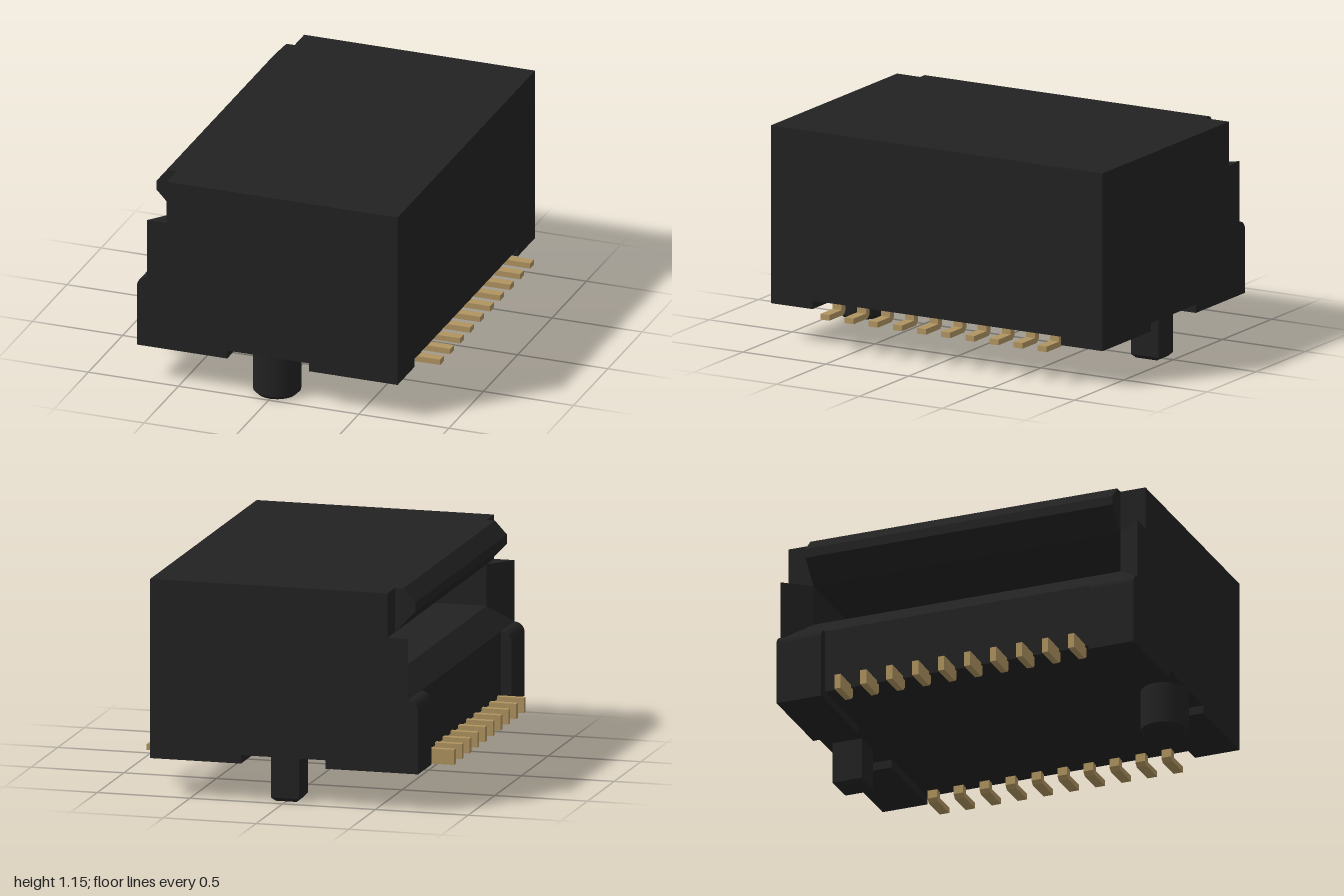
import * as THREE from 'three';

export function createModel() {
  const group = new THREE.Group();
  const black = new THREE.MeshStandardMaterial({ color: 0x222222 });
  black.name = 'black plastic';
  const gold = new THREE.MeshStandardMaterial({ color: 0xb09460 });
  gold.name = 'gold contact';

  const add = (name, geometry, material = black) => {
    const mesh = new THREE.Mesh(geometry, material);
    mesh.name = name;
    group.add(mesh);
    return mesh;
  };
  const shapeOf = (pts) => new THREE.Shape(pts.map(([x, y]) => new THREE.Vector2(x, y)));
  // Extrude an x-y profile from z0 to z1
  const slab = (shape, z0, z1) =>
    new THREE.ExtrudeGeometry(shape, { depth: z1 - z0, bevelEnabled: false, curveSegments: 8 }).translate(0, 0, z0);
  const box = (x0, x1, y0, y1, z0, z1) =>
    new THREE.BoxGeometry(x1 - x0, y1 - y0, z1 - z0).translate((x0 + x1) / 2, (y0 + y1) / 2, (z0 + z1) / 2);

  // Housing with a chamfered card slot
  add('slottedHousing', slab(shapeOf([
    [0.715, 0.245], [0.715, 1.15], [-0.61, 1.15], [-0.675, 1.08], [-0.675, 1.03], [-0.565, 0.915],
    [0.3, 0.915], [0.3, 0.695], [-0.565, 0.695], [-0.675, 0.59], [-0.675, 0.245],
  ]), -0.86, 0.86));

  const endProfile = shapeOf([
    [0.715, 0.245], [0.715, 1.15], [-0.565, 1.15], [-0.565, 0.695], [-0.675, 0.59], [-0.675, 0.245],
  ]);
  // Rounded corner block below the slot
  const corner = new THREE.Shape();
  corner.moveTo(-0.66, 0.2);
  corner.lineTo(-0.66, 0.59);
  corner.lineTo(-0.675, 0.59);
  corner.absarc(-0.675, 0.535, 0.055, Math.PI / 2, Math.PI, false);
  corner.lineTo(-0.73, 0.2);

  for (const s of [-1, 1]) {
    const side = s > 0 ? 'front' : 'back';
    const span = (a, b) => (s > 0 ? [a, b] : [-b, -a]);
    add(side + 'EndWall', slab(endProfile, ...span(0.86, 1)));
    add(side + 'CornerBlock', slab(corner, ...span(0.75, 1)));
    // Wedge that guides the card into the slot end
    const wedge = new THREE.ExtrudeGeometry(
      shapeOf([[-0.565, -s], [-0.675, -s], [-0.565, -0.86 * s]]),
      { depth: 0.325, bevelEnabled: false });
    add(side + 'SlotGuide', wedge.rotateX(-Math.PI / 2).translate(0, 0.59, 0));
    // Standing feet
    add(side + 'SlotFoot', box(-0.675, -0.23, 0.2, 0.25, ...span(0.75, 1)));
    add(side + 'RearFoot', box(0.225, 0.715, 0.2, 0.25, ...span(0.75, 1)));
  }

  // Locating pegs with chamfered tips
  add('roundPeg', new THREE.LatheGeometry([
    [0, 0], [0.105, 0], [0.105, 0], [0.125, 0.02], [0.125, 0.02], [0.125, 0.25],
  ].map(([x, y]) => new THREE.Vector2(x, y)), 32).translate(0, 0, 0.875));
  add('squarePeg', box(-0.075, 0.075, 0.02, 0.25, -0.955, -0.79));
  const tip = new THREE.CylinderGeometry(Math.SQRT1_2, Math.SQRT1_2 * 0.76, 0.02, 4).toNonIndexed();
  tip.rotateY(Math.PI / 4).scale(0.15, 1, 0.165).translate(0, 0.01, -0.8725);
  tip.computeVertexNormals();
  add('squarePegTip', tip);

  // Two staggered rows of solder contacts
  const slotContact = shapeOf([[-0.82, 0.18], [-0.67, 0.18], [-0.65, 0.2], [-0.65, 0.26], [-0.82, 0.26]]);
  const rearContact = shapeOf([
    [0.815, 0.18], [0.815, 0.21], [0.69, 0.21], [0.69, 0.26], [0.65, 0.26], [0.65, 0.2], [0.67, 0.18],
  ]);
  for (let i = 0; i < 10; i++) {
    const za = -0.622 + i * 0.1456;
    const zb = -0.695 + i * 0.1456;
    add('slotContact' + i, slab(slotContact, za - 0.017, za + 0.017), gold);
    add('rearContact' + i, slab(rearContact, zb - 0.027, zb + 0.027), gold);
  }
  return group;
}
